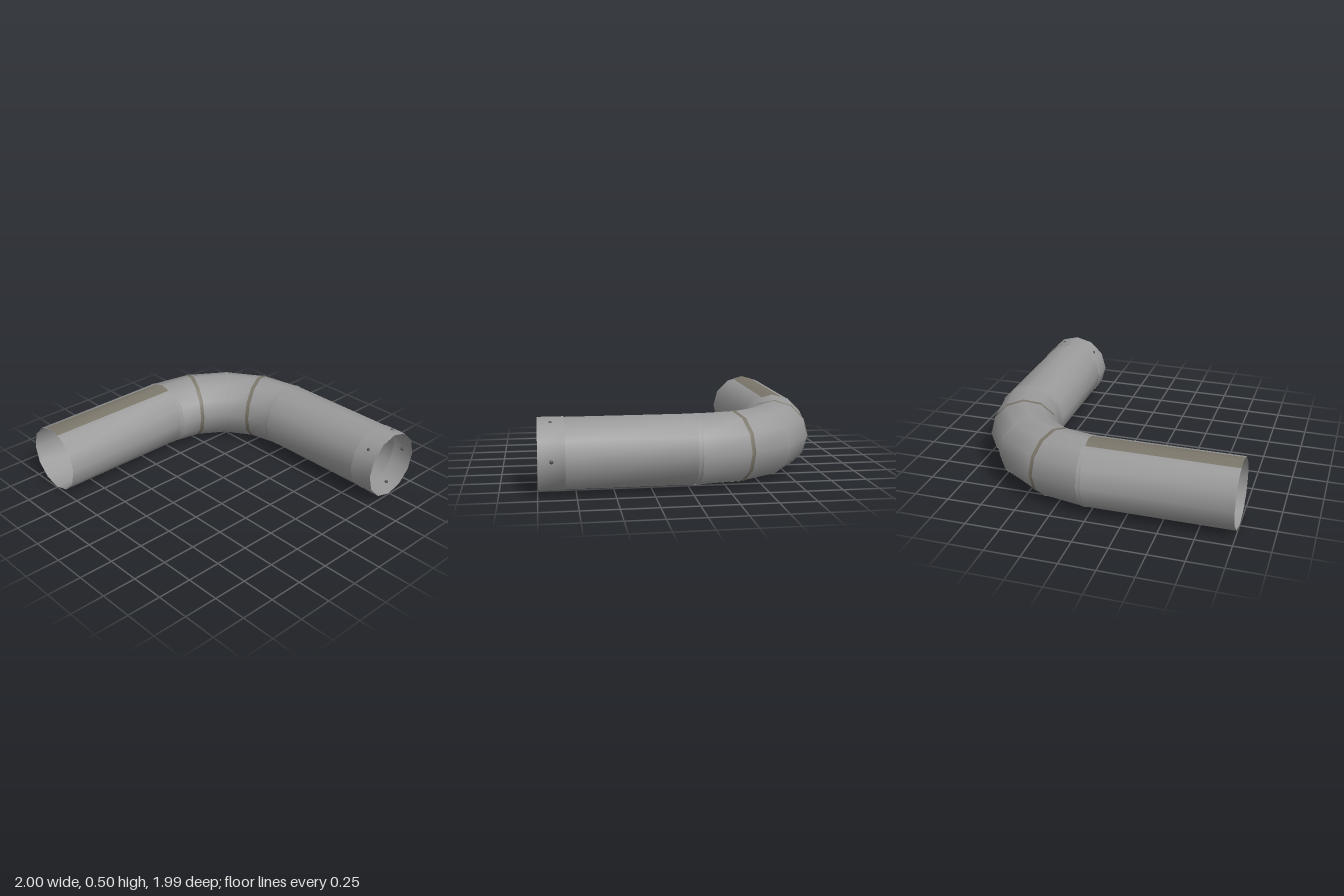
import * as THREE from 'three';

const SIDES = 12, STEP = Math.PI * 2 / SIDES;
const BEND = { x: 0.043, y: 0.248, z: -0.052, radius: 0.7 }; // centre of the elbow's arc
const PIPE_R = 0.244;
const rad = THREE.MathUtils.degToRad;

const gray = new THREE.MeshStandardMaterial({ color: 0x9a9a9a, side: THREE.DoubleSide });
gray.name = 'sheet metal';
const brown = new THREE.MeshStandardMaterial({ color: 0x7b766a, side: THREE.DoubleSide });
brown.name = 'seam metal';
const dark = new THREE.MeshStandardMaterial({ color: 0x555555 });
dark.name = 'rivet metal';

// Point on the pipe wall: a = turn along the elbow, t = straight offset, phi = angle round the pipe
function wallPoint(a, t, r, phi) {
  const m = ((phi % STEP) + STEP) % STEP;
  const d = r * Math.cos(STEP / 2) / Math.cos(m - STEP / 2); // stay on the flat facets
  const out = BEND.radius + d * Math.cos(phi);
  return new THREE.Vector3(
    BEND.x + Math.sin(a) * out + Math.cos(a) * t,
    BEND.y + d * Math.sin(phi),
    BEND.z - Math.cos(a) * out + Math.sin(a) * t
  );
}

// Skin a list of [a, t] stations; full circle unless a list of angles is given
function sweep(name, material, stations, r, angles) {
  const closed = !angles;
  const phis = angles || Array.from({ length: SIDES }, (_, i) => i * STEP);
  const n = phis.length, pos = [], index = [];
  for (const [a, t] of stations) for (const p of phis) pos.push(...wallPoint(a, t, r, p).toArray());
  for (let i = 0; i < stations.length - 1; i++) {
    for (let j = 0; j < (closed ? n : n - 1); j++) {
      const k = (j + 1) % n, p = i * n, q = p + n;
      index.push(p + j, p + k, q + j, p + k, q + k, q + j);
    }
  }
  const g = new THREE.BufferGeometry();
  g.setAttribute('position', new THREE.Float32BufferAttribute(pos, 3));
  g.setIndex(index);
  g.computeVertexNormals();
  const mesh = new THREE.Mesh(g, material);
  mesh.name = name;
  return mesh;
}

export function createModel() {
  const model = new THREE.Group();
  model.name = 'bentPipe';
  const end = Math.PI / 2;
  const back = -1 - BEND.x, front = 0.995 - BEND.z, collarStart = 0.82 - BEND.z;

  // Two straight runs and a four-piece elbow
  model.add(sweep('backPipe', gray, [[0, back], [0, 0]], PIPE_R));
  const bends = [0, 22.5, 45, 67.5, 90].map(d => [rad(d), 0]);
  model.add(sweep('elbow', gray, bends, PIPE_R));
  model.add(sweep('frontPipe', gray, [[end, 0], [end, collarStart + 0.01]], PIPE_R));

  // Wider collar at the front opening
  model.add(sweep('collar', gray, [[end, collarStart], [end, front]], 0.248));

  // Joint rings along the elbow
  for (const [deg, mat, r] of [[0, gray, 0.2465], [22.5, brown, 0.2468], [45, gray, 0.2452],
    [67.5, brown, 0.2468], [90, gray, 0.2465]]) {
    model.add(sweep('jointRing', mat, [[rad(deg), -0.015], [rad(deg), 0.015]], r));
  }

  // Lengthwise seam on top of the back pipe
  model.add(sweep('seamStrip', brown, [[0, back], [0, 0]], 0.2475, [rad(71.5), rad(90), rad(108.5)]));

  // Rivets round the collar
  const rivetGeometry = new THREE.SphereGeometry(0.013, 10, 8);
  for (const deg of [0, 69, 137, -137, -69]) {
    const rivet = new THREE.Mesh(rivetGeometry, dark);
    rivet.name = 'rivet';
    rivet.position.copy(wallPoint(end, 0.908 - BEND.z, 0.244, rad(deg)));
    model.add(rivet);
  }
  return model;
}
